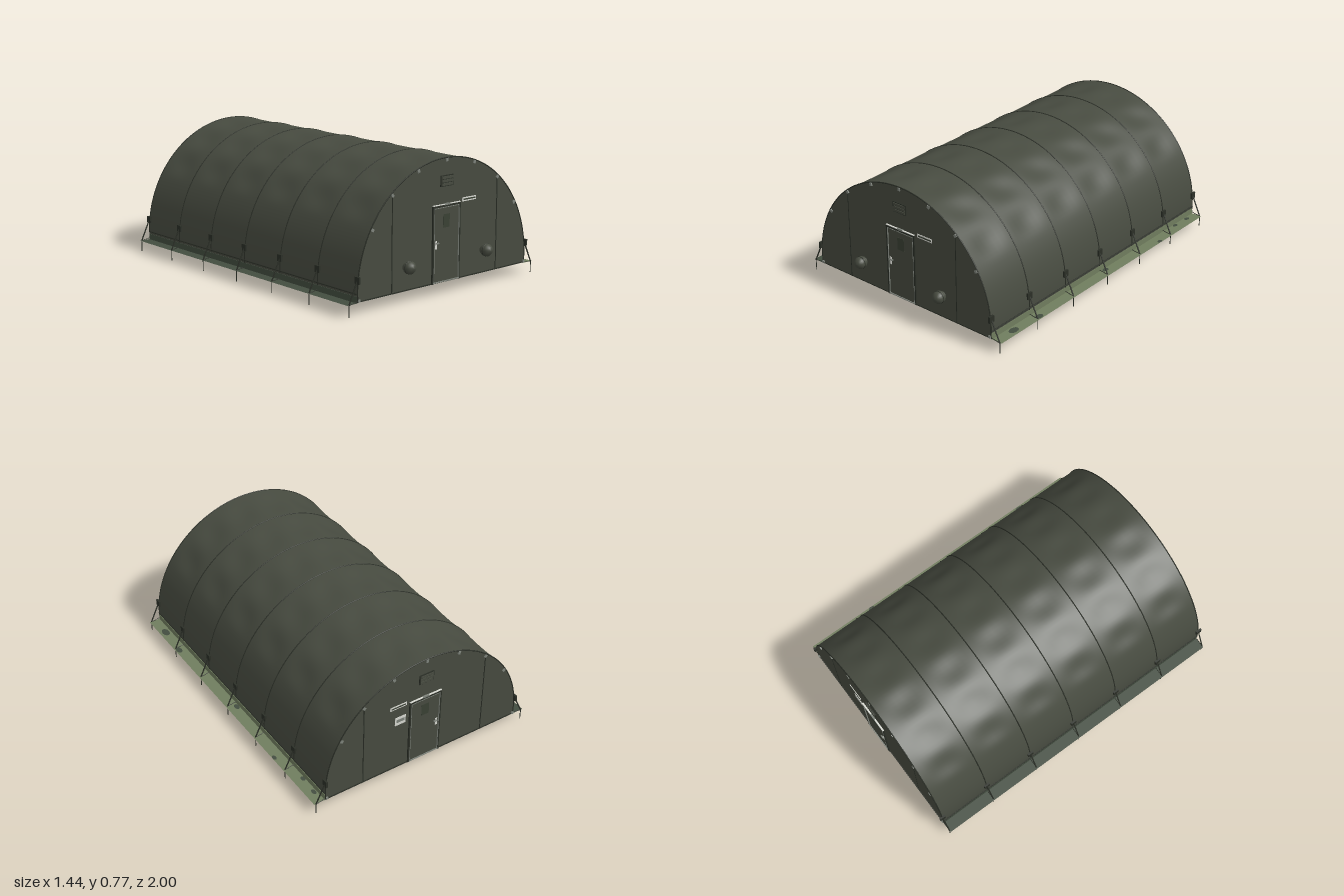
import * as THREE from 'three';

const mat = (name, color, side = THREE.FrontSide) => {
  const m = new THREE.MeshStandardMaterial({ color, side });
  m.name = name;
  return m;
};

export function createModel() {
  const root = new THREE.Group();
  root.name = 'archedShelter';

  const canvas = mat('olive canvas', 0x474b40, THREE.DoubleSide);
  const liner = mat('pale liner', 0xd2d1cc, THREE.DoubleSide);
  const dark = mat('dark olive', 0x2b2f27);
  const frameGreen = mat('frame green', 0x3a4134);
  const skirtLight = mat('light green skirt', 0x707d5e, THREE.DoubleSide);
  const skirtDark = mat('dark green skirt', 0x434d40, THREE.DoubleSide);
  const white = mat('off white', 0xd8d9d2);
  const grey = mat('grey metal', 0x7f847c);

  const R = 0.65, CY = 0.115, END = THREE.MathUtils.degToRad(94);
  const ZF = 0.935, ZB = -0.985, BASE = 0.07, BAYS = 6;
  const ribZ = Array.from({ length: BAYS + 1 }, (_, i) => ZF + (ZB - ZF) * i / BAYS);
  const arc = (a, r, z) => new THREE.Vector3(Math.sin(a) * r, CY + Math.cos(a) * r, z);

  const add = (name, geo, material, parent = root) => {
    const m = new THREE.Mesh(geo, material);
    m.name = name;
    parent.add(m);
    return m;
  };
  const box = (name, w, h, d, x, y, z, material, parent) => {
    const m = add(name, new THREE.BoxGeometry(w, h, d), material, parent);
    m.position.set(x, y, z);
    return m;
  };
  const rod = (name, a, b, r, material, sides = 6) =>
    add(name, new THREE.TubeGeometry(new THREE.LineCurve3(a, b), 1, r, sides), material);
  const hoop = (name, r, z, thick, material) => {
    const pts = Array.from({ length: 25 }, (_, i) => arc(-END + 2 * END * i / 24, r, z));
    return add(name, new THREE.TubeGeometry(new THREE.CatmullRomCurve3(pts), 64, thick, 6), material);
  };

  // Barrel roof: the cloth sags a little between hoops and purlins
  const purlinStep = THREE.MathUtils.degToRad(19.7);
  const roof = (name, r, material) => {
    const g = new THREE.PlaneGeometry(1, 1, 96, BAYS * 8);
    const p = g.attributes.position;
    for (let i = 0; i < p.count; i++) {
      const a = p.getX(i) * 2 * END, t = p.getY(i) + 0.5;
      const across = Math.abs(a) < 3 * purlinStep ? Math.sin(Math.PI * a / purlinStep) ** 2 : 0;
      const sag = 0.011 * across * Math.sin(Math.PI * t * BAYS) ** 2;
      const v = arc(a, r - sag, ZB + (ZF - ZB) * (1 - t));
      p.setXYZ(i, v.x, v.y, v.z);
    }
    g.computeVertexNormals();
    add(name, g, material);
  };
  roof('roofCanvas', R, canvas);
  roof('roofLiner', R - 0.008, liner);

  // End walls, canvas outside and liner inside
  const wallShape = r => {
    const pts = [];
    for (let i = 0; i <= 64; i++) {
      const v = arc(-END + 2 * END * i / 64, r, 0);
      pts.push(new THREE.Vector2(v.x, v.y));
    }
    return new THREE.ShapeGeometry(new THREE.Shape(pts));
  };
  for (const s of [1, -1]) {
    const z = s > 0 ? ZF : ZB;
    add('endWall', wallShape(R), canvas).position.z = z;
    add('endWallLiner', wallShape(R - 0.008), liner).position.z = z - s * 0.008;
  }

  // Hoops and purlins inside, seams outside
  ribZ.forEach((z, i) => {
    const inset = i === 0 ? -0.014 : i === BAYS ? 0.014 : 0;
    hoop('hoop', R - 0.018, z + inset, 0.009, frameGreen);
    hoop('roofSeam', R, z, 0.0035, dark);
  });
  for (let k = -3; k <= 3; k++) {
    const thick = Math.abs(k) === 2 ? 0.008 : 0.0035;
    rod('purlin', arc(k * purlinStep, R - 0.018, ZF - 0.01), arc(k * purlinStep, R - 0.018, ZB + 0.01), thick, frameGreen);
  }

  // Side details: sill, cord, ground flap, brackets, guy ropes and pegs
  for (const s of [1, -1]) {
    rod('sill', new THREE.Vector3(s * 0.642, BASE + 0.004, ZF), new THREE.Vector3(s * 0.642, BASE + 0.004, ZB), 0.008, frameGreen);
    rod('sideCord', new THREE.Vector3(s * 0.652, 0.115, ZF), new THREE.Vector3(s * 0.652, 0.115, ZB), 0.004, dark);
    const flap = s > 0 ? skirtLight : skirtDark;
    const slope = add('groundFlap', new THREE.PlaneGeometry(0.075, ZF - ZB), flap);
    slope.rotation.x = -Math.PI / 2;
    slope.position.set(s * 0.684, 0.066, (ZF + ZB) / 2);
    box('flapUpright', 0.004, 0.035, ZF - ZB, s * 0.651, 0.083, (ZF + ZB) / 2, flap);
    for (const z of ribZ) {
      box('ropeBracket', 0.012, 0.038, 0.036, s * 0.65, 0.19, z, dark);
      const peg = new THREE.Vector3(s * 0.71, 0.065, z);
      rod('guyRope', new THREE.Vector3(s * 0.648, 0.195, z), peg, 0.004, dark);
      rod('lowerRope', new THREE.Vector3(s * 0.65, 0.075, z), peg, 0.002, dark);
      rod('peg', new THREE.Vector3(s * 0.71, 0, z), new THREE.Vector3(s * 0.71, 0.07, z), 0.0025, dark);
    }
  }
  // Dark patches on the light flap
  for (const [x, z, r] of [[0.7, 0.59, 0.018], [0.685, 0.79, 0.022], [0.67, -0.9, 0.013], [0.665, -0.78, 0.012], [0.668, -0.06, 0.015], [0.71, -0.55, 0.012]]) {
    const patch = add('flapPatch', new THREE.CircleGeometry(r, 12), skirtDark);
    patch.rotation.x = -Math.PI / 2;
    patch.scale.y = 1.6;
    patch.position.set(x, 0.0675, z);
  }

  // End fittings, mirrored front to back in z only by position
  for (const s of [1, -1]) {
    const end = new THREE.Group();
    end.name = s > 0 ? 'frontFittings' : 'backFittings';
    root.add(end);
    const zw = s > 0 ? ZF : ZB;
    const plate = (name, w, h, d, x, y, m, off = 0) => box(name, w, h, d, x, y, zw + s * (off + d / 2), m, end);

    // Door with frame, thin metal trim, hinges and handle
    plate('doorLeaf', 0.19, 0.425, 0.004, 0, BASE + 0.2125, canvas);
    for (const x of [-1, 1]) {
      plate('doorJamb', 0.012, 0.435, 0.008, x * 0.101, BASE + 0.2175, dark);
      plate('doorTrim', 0.003, 0.42, 0.0095, x * 0.095, BASE + 0.215, grey);
    }
    plate('doorHead', 0.214, 0.012, 0.008, 0, 0.5, dark);
    plate('doorHeadTrim', 0.21, 0.004, 0.0095, 0, 0.508, white);
    plate('doorSill', 0.2, 0.005, 0.0095, 0, BASE + 0.006, grey);
    plate('doorTopTrim', 0.19, 0.003, 0.0095, 0, 0.492, grey);
    plate('doorCloser', 0.04, 0.01, 0.01, 0, 0.508, grey);
    plate('handlePlate', 0.013, 0.045, 0.003, -0.08, 0.288, white, 0.004);
    plate('handleLever', 0.024, 0.006, 0.008, -0.072, 0.297, grey, 0.006);
    plate('doorWindow', 0.05, 0.075, 0.001, 0, 0.415, frameGreen, 0.004);

    // Inner door frame
    const inner = (name, w, h, x, y, m) => box(name, w, h, 0.006, x, y, zw - s * 0.012, m, end);
    for (const x of [-1, 1]) inner('innerJamb', 0.012, 0.435, x * 0.101, BASE + 0.2175, grey);
    inner('innerHead', 0.214, 0.012, 0, 0.5, grey);
    inner('innerSill', 0.214, 0.012, 0, BASE + 0.006, grey);
    inner('innerCloser', 0.08, 0.02, 0.03, 0.475, dark);

    // Louvred vent
    plate('ventFrame', 0.096, 0.062, 0.006, 0, 0.638, dark);
    for (let i = 0; i < 3; i++) plate('ventSlat', 0.084, 0.014, 0.006, 0, 0.619 + i * 0.019, canvas, 0.004);

    // Blank notice plates
    plate('noticePlate', 0.108, 0.022, 0.003, 0.18, 0.514, white);
    plate('noticeStripe', 0.094, 0.008, 0.001, 0.18, 0.514, frameGreen, 0.003);
    if (s < 0) {
      plate('smallNotice', 0.07, 0.055, 0.003, 0.165, 0.41, white);
      plate('smallNoticeStripe', 0.055, 0.02, 0.001, 0.165, 0.412, grey, 0.003);
    }

    // Wall seams and edge clips
    for (const x of [-1, 1]) plate('wallSeam', 0.005, 0.53, 0.003, x * 0.405, BASE + 0.265, dark);
    for (let k = -3; k <= 3; k++) {
      const v = arc(k * purlinStep, R - 0.012, 0);
      plate('edgeClip', 0.016, 0.018, 0.006, v.x, v.y, grey).rotation.z = -k * purlinStep;
    }
    for (const x of [-1, 1]) plate('cornerClip', 0.014, 0.014, 0.008, x * 0.642, BASE + 0.008, grey);
    plate('bottomHem', 1.29, 0.006, 0.004, 0, BASE + 0.003, dark);
  }

  // Round duct ports on the front wall
  const portProfile = [[0.026, 0], [0.026, 0.01], [0.035, 0.014], [0.035, 0.042], [0.02, 0.06], [0, 0.064]]
    .map(([x, y]) => new THREE.Vector2(x, y));
  for (const s of [1, -1]) {
    const port = add('ductPort', new THREE.LatheGeometry(portProfile, 24), canvas);
    port.rotation.x = Math.PI / 2;
    port.position.set(s * 0.3, 0.205, ZF);
    const strap = add('ductStrap', new THREE.TorusGeometry(0.034, 0.003, 6, 24), dark);
    strap.position.set(s * 0.3, 0.205, ZF + 0.028);
  }

  return root;
}
